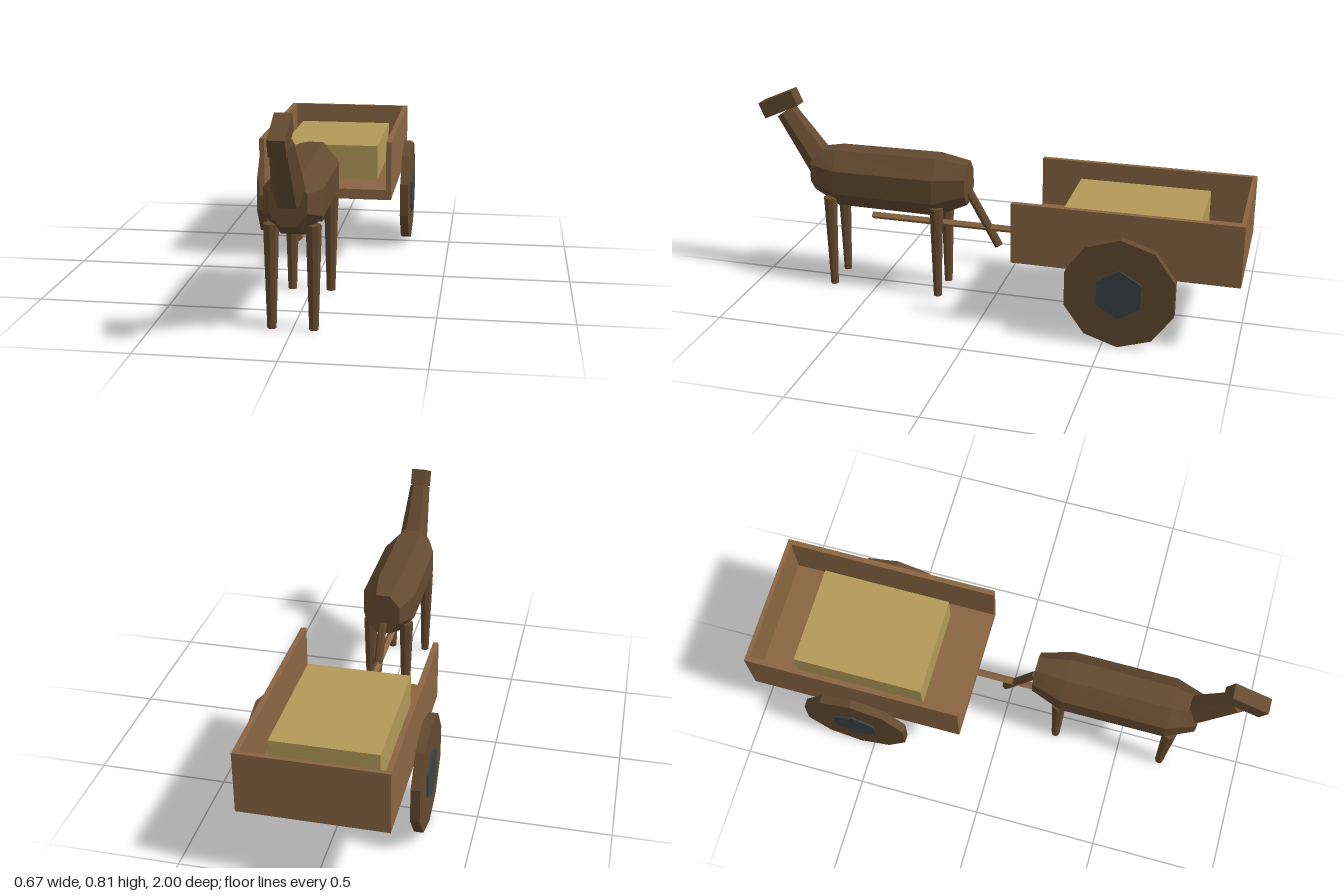
import * as THREE from 'three';

const makeMaterial = (name, color) => {
  const m = new THREE.MeshStandardMaterial({ color, flatShading: true });
  m.name = name;
  return m;
};

export function createModel() {
  const hide = makeMaterial('dark brown', 0x644a30);
  const wood = makeMaterial('cart wood', 0x8a6642);
  const straw = makeMaterial('straw', 0xb39a58);
  const iron = makeMaterial('dark iron', 0x3c4549);

  const group = new THREE.Group();
  const add = (parent, name, geometry, material, x = 0, y = 0, z = 0) => {
    const mesh = new THREE.Mesh(geometry, material);
    mesh.name = name;
    mesh.position.set(x, y, z);
    parent.add(mesh);
    return mesh;
  };
  const part = (name) => {
    const g = new THREE.Group();
    g.name = name;
    group.add(g);
    return g;
  };

  // Box given by its lower and upper corners
  const box = (parent, name, material, a, b) => add(parent, name,
    new THREE.BoxGeometry(b[0] - a[0], b[1] - a[1], b[2] - a[2]), material,
    (a[0] + b[0]) / 2, (a[1] + b[1]) / 2, (a[2] + b[2]) / 2);

  // Tapered rod in the middle plane, from [z, y] to [z, y]
  const rod = (parent, name, material, from, to, r0, r1, sides, turn) => {
    const dz = to[0] - from[0], dy = to[1] - from[1];
    const geo = new THREE.CylinderGeometry(r1, r0, Math.hypot(dz, dy), sides);
    geo.rotateY(turn).rotateX(Math.atan2(dz, dy));
    return add(parent, name, geo, material, 0, (from[1] + to[1]) / 2, (from[0] + to[0]) / 2);
  };

  // Animal body: octagonal rings of [z, centre y, half width, half height]
  const animal = part('animal');
  const rings = [
    [0.115, 0.476, 0.069, 0.085],
    [0.24, 0.459, 0.107, 0.121],
    [0.66, 0.46, 0.107, 0.118],
    [0.77, 0.48, 0.067, 0.083],
  ];
  const body = new THREE.CylinderGeometry(1, 1, 1, 8, 3, false, Math.PI / 8).rotateX(Math.PI / 2);
  const p = body.attributes.position;
  const k = 1 / Math.cos(Math.PI / 8);
  for (let i = 0; i < p.count; i++) {
    const [z, cy, hw, hh] = rings[Math.round((p.getZ(i) + 0.5) * 3)];
    p.setXYZ(i, p.getX(i) * hw * k, cy + p.getY(i) * hh * k, z);
  }
  body.computeVertexNormals();
  add(animal, 'body', body, hide);

  // Neck, head and tail
  rod(animal, 'neck', hide, [0.738, 0.497], [0.89, 0.715], 0.063, 0.043, 6, Math.PI / 2);
  const head = add(animal, 'head', new THREE.BoxGeometry(0.06, 0.067, 0.16), hide, 0, 0.746, 0.913);
  head.rotation.x = 0.42;
  rod(animal, 'tail', hide, [0.113, 0.436], [-0.01, 0.218], 0.0175, 0.0175, 6, Math.PI / 2);

  // Legs
  for (const side of [-1, 1]) {
    for (const [name, z] of [['frontLeg', 0.683], ['backLeg', 0.23]]) {
      add(animal, name, new THREE.CylinderGeometry(0.0285, 0.017, 0.385, 8), hide,
        side * 0.0755, 0.1925, z);
    }
  }

  // Cart bed, open at the front
  const cart = part('cart');
  box(cart, 'floor', wood, [-0.252, 0.275, -0.985], [0.252, 0.317, -0.13]);
  box(cart, 'backWall', wood, [-0.252, 0.275, -1], [0.252, 0.517, -0.983]);
  box(cart, 'load', straw, [-0.2, 0.317, -0.828], [0.2, 0.463, -0.303]);
  rod(cart, 'drawbar', wood, [-0.14, 0.293], [0.53, 0.293], 0.015, 0.015, 4, 0);

  // Side walls and wheels
  const disc = (r, width, sides) => new THREE.CylinderGeometry(r, r, width, sides)
    .rotateY(Math.PI / 2).rotateZ(Math.PI / 2);
  for (const side of [-1, 1]) {
    add(cart, 'sideWall', new THREE.BoxGeometry(0.021, 0.242, 0.87), wood, side * 0.2625, 0.396, -0.565);
    add(cart, 'wheel', disc(0.219, 0.035, 10), hide, side * 0.311, 0.219, -0.56);
    add(cart, 'hub', disc(0.098, 0.049, 6), iron, side * 0.311, 0.219, -0.56);
  }
  return group;
}
